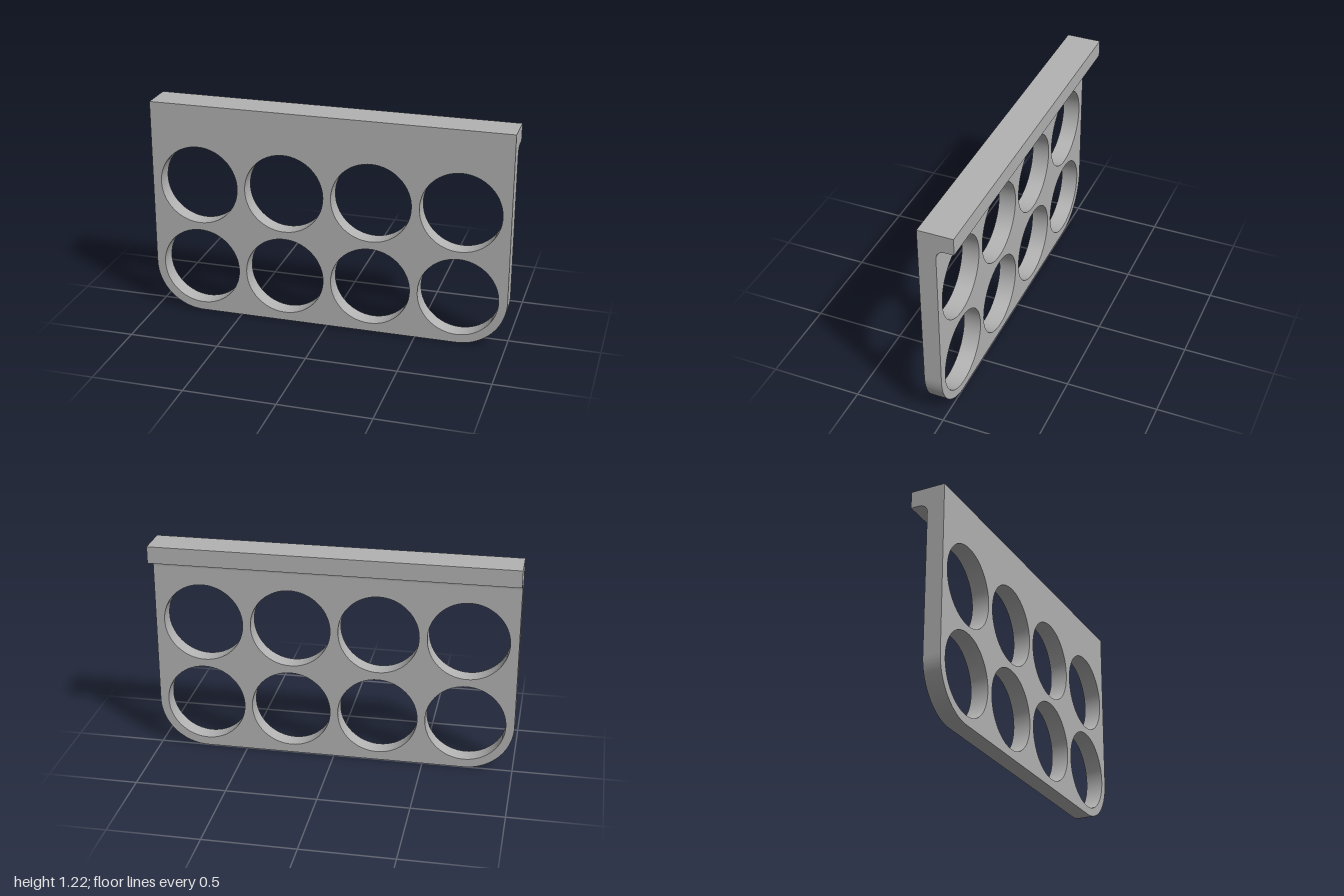
import * as THREE from 'three';
import { toCreasedNormals } from 'three/addons/utils/BufferGeometryUtils.js';

const HEIGHT = 1.215, THICK = 0.096, CORNER = 0.27;

export function createModel() {
  const group = new THREE.Group();
  group.name = 'hookedRack';
  const grey = new THREE.MeshStandardMaterial({ color: 0xb3b3b3 });
  grey.name = 'grey';

  const extrude = (shape, depth) => toCreasedNormals(
    new THREE.ExtrudeGeometry(shape, { depth, bevelEnabled: false, curveSegments: 32 }), 0.5);
  const add = (name, geometry) => {
    const mesh = new THREE.Mesh(geometry, grey);
    mesh.name = name;
    group.add(mesh);
  };

  // Plate with rounded bottom corners
  const plate = new THREE.Shape();
  plate.moveTo(-1, HEIGHT);
  plate.lineTo(-1, CORNER);
  plate.absarc(-1 + CORNER, CORNER, CORNER, Math.PI, Math.PI * 1.5, false);
  plate.lineTo(1 - CORNER, 0);
  plate.absarc(1 - CORNER, CORNER, CORNER, -Math.PI / 2, 0, false);
  plate.lineTo(1, HEIGHT);
  plate.closePath();

  // Two rows of four round holes
  for (const y of [0.27, 0.757]) {
    for (let i = 0; i < 4; i++) {
      const hole = new THREE.Path();
      hole.absarc((i - 1.5) * 0.487, y, 0.222, 0, Math.PI * 2, true);
      plate.holes.push(hole);
    }
  }
  add('plate', extrude(plate, THICK));

  // Lip along the top of the back, with a concave fillet beneath
  const lip = new THREE.Shape();
  lip.moveTo(0, HEIGHT);
  lip.lineTo(0, 1.073);
  lip.absarc(0.048, 1.073, 0.048, Math.PI, Math.PI / 2, true);
  lip.lineTo(THICK, 1.121);
  lip.lineTo(THICK, HEIGHT);
  lip.closePath();
  add('backLip', extrude(lip, 2).rotateY(Math.PI / 2).translate(-1, 0, 0));

  return group;
}
